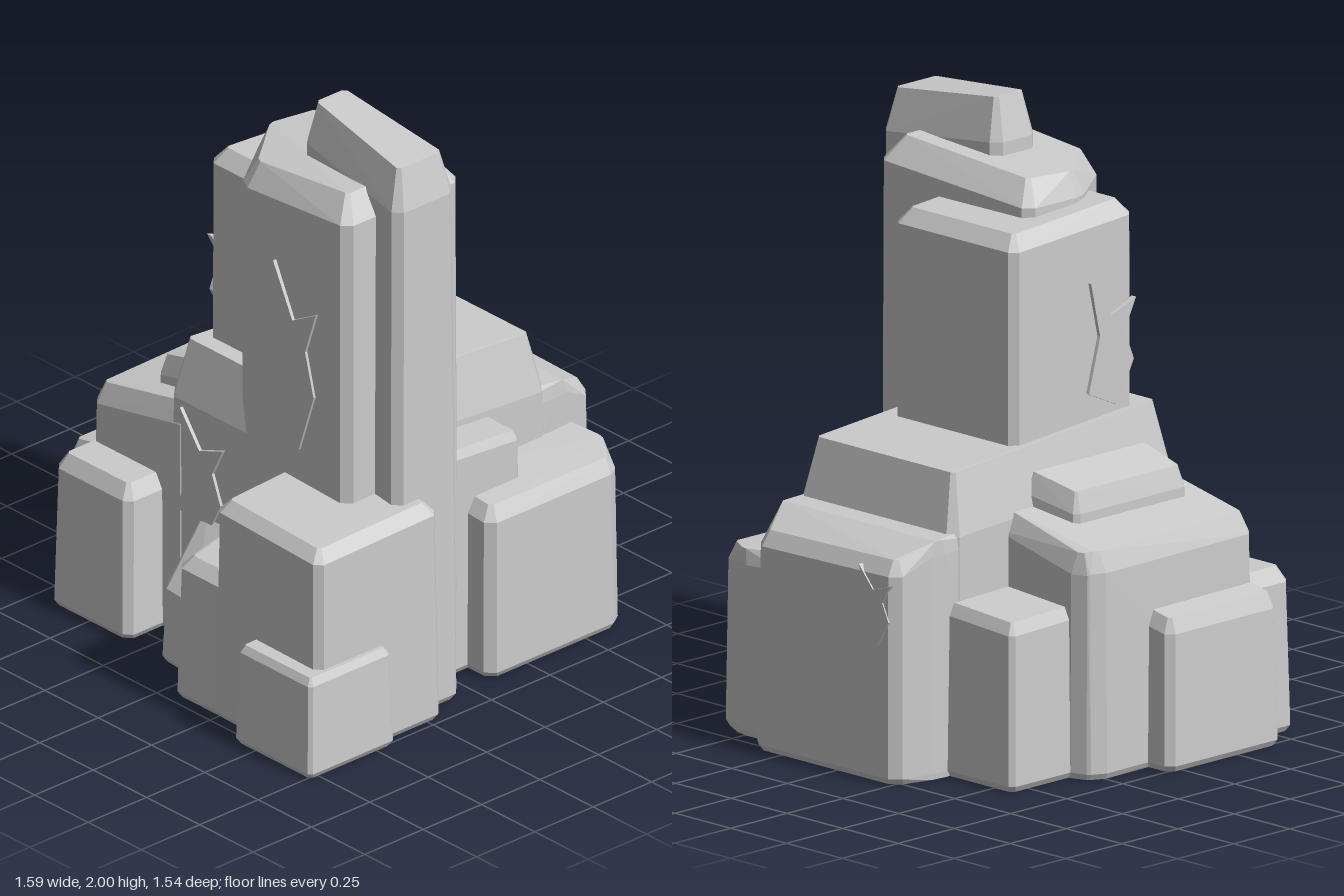
import * as THREE from 'three';
import { ConvexGeometry } from 'three/addons/geometries/ConvexGeometry.js';

const material = new THREE.MeshStandardMaterial({ color: 0xcccccc, flatShading: true });

// Chamfered rock block: corners are [x, z, topHeight] around a convex footprint.
// side = vertical edge cut, inset/drop = top bevel across and down.
function block(name, corners, { side = 0.025, inset = 0.035, drop = 0.04, taper = 0.01 } = {}) {
  const pts = [];
  const n = corners.length;
  corners.forEach(([x, z, h], i) => {
    const here = new THREE.Vector2(x, z);
    const toward = (k) => {
      const c = corners[(i + k + n) % n];
      return new THREE.Vector2(c[0], c[1]).sub(here).normalize();
    };
    const a = toward(-1), b = toward(1);
    const inward = a.clone().add(b);
    const put = (p, y) => pts.push(new THREE.Vector3(p.x, y, p.y));
    for (const d of [a, b]) {
      const edge = here.clone().addScaledVector(d, side);
      put(edge.clone().addScaledVector(inward, 0.012), 0);
      put(edge, 0.02);
      put(edge.clone().addScaledVector(inward, taper), h - drop);
      put(here.clone().addScaledVector(inward, inset + taper).addScaledVector(d, side * 0.4), h);
    }
  });
  const mesh = new THREE.Mesh(new ConvexGeometry(pts), material);
  mesh.name = name;
  return mesh;
}

// Axis-aligned footprint; heights run back-left, back-right, front-right, front-left (by x and z)
function box(name, x0, x1, z0, z1, h, options) {
  const [a, b, c, d] = Array.isArray(h) ? h : [h, h, h, h];
  return block(name, [[x0, z0, a], [x1, z0, b], [x1, z1, c], [x0, z1, d]], options);
}

// Thin jagged flake lying on a wall
function flake(name, outline, position, rotationY) {
  const shape = new THREE.Shape(outline.map(([x, y]) => new THREE.Vector2(x, y)));
  const geometry = new THREE.ExtrudeGeometry(shape, { depth: 0.02, bevelEnabled: false });
  const mesh = new THREE.Mesh(geometry, material);
  mesh.name = name;
  mesh.position.set(...position);
  mesh.rotation.y = rotationY;
  return mesh;
}

export function createModel() {
  const group = new THREE.Group();
  group.name = 'rockFormation';

  // Tall central spires
  group.add(
    block('frontSpire', [[-0.27, 0.13, 2.0], [-0.06, 0.13, 2.0], [-0.05, 0.67, 1.95], [-0.335, 0.67, 1.95]],
      { side: 0.03, inset: 0.035, drop: 0.14, taper: 0.012 }),
    block('mainSpire', [[-0.43, 0.04, 1.8], [-0.19, -0.13, 1.8], [0.055, -0.13, 1.8], [0.065, 0.55, 1.84], [-0.44, 0.55, 1.84]],
      { side: 0.03, inset: 0.06, drop: 0.08, taper: 0.005 }),
    box('rearSpire', -0.32, 0.225, -0.235, 0.315, [1.71, 1.68, 1.68, 1.71], { inset: 0.04, drop: 0.05, taper: 0.003 })
  );

  // Stepped body around the spires
  group.add(
    box('upperShelf', -0.435, 0.57, -0.31, 0.41, [1.04, 0.975, 0.975, 1.04],
      { side: 0.03, inset: 0.045, drop: 0.2, taper: 0.008 }),
    block('rightBoulder', [[0.3, -0.31, 0.8], [0.62, -0.3, 0.78], [0.79, -0.27, 0.73], [0.79, 0.37, 0.72], [0.62, 0.4, 0.78], [0.3, 0.4, 0.8]],
      { side: 0.03, inset: 0.03, drop: 0.05, taper: 0.008 }),
    block('frontRightBoulder', [[0.08, 0.3, 0.62], [0.7, 0.3, 0.62], [0.7, 0.52, 0.61], [0.64, 0.655, 0.6], [0.08, 0.655, 0.6]],
      { side: 0.03, inset: 0.03, drop: 0.05, taper: 0.008 }),
    box('frontLedge', 0.0, 0.325, 0.3, 0.55, [0.79, 0.77, 0.77, 0.79], { side: 0.015, inset: 0.015, drop: 0.03 })
  );

  // Steps on the -x side
  group.add(
    block('frontLeftBlock', [[-0.72, 0.22, 0.77], [-0.19, 0.2, 0.78], [-0.19, 0.735, 0.77], [-0.73, 0.735, 0.76]]),
    box('frontLeftStep', -0.795, -0.43, 0.41, 0.77, 0.35, { side: 0.012, inset: 0.015, drop: 0.025 }),
    box('leftMiddleStep', -0.72, -0.35, 0.04, 0.3, [0.5, 0.56, 0.56, 0.5]),
    block('leftSmallRock', [[-0.59, -0.17, 0.3], [-0.35, -0.18, 0.5], [-0.35, 0.06, 0.5], [-0.61, 0.05, 0.3]])
  );

  // Rear steps
  group.add(
    block('rearBlock', [[-0.44, -0.67, 0.745], [0.28, -0.68, 0.745], [0.325, -0.62, 0.74], [0.325, -0.2, 0.82], [-0.44, -0.2, 0.82]],
      { side: 0.03, inset: 0.03, drop: 0.07, taper: 0.01 }),
    block('rearTopStep', [[-0.33, -0.475, 0.88], [0.18, -0.475, 0.88], [0.22, -0.25, 0.92], [-0.34, -0.25, 0.92]],
      { side: 0.015, inset: 0.02, drop: 0.07 }),
    box('rearLowSlab', -0.44, 0.065, -0.775, -0.5, [0.5, 0.5, 0.54, 0.54], { inset: 0.02, drop: 0.05 }),
    box('rearLeftBlock', -0.59, -0.3, -0.68, -0.31, 0.54, { side: 0.025, inset: 0.03, drop: 0.05 }),
    box('rearRightBlock', 0.2, 0.585, -0.59, -0.2, [0.56, 0.55, 0.57, 0.58], { side: 0.015, inset: 0.02, drop: 0.04 })
  );

  // Shallow broken flakes on the walls
  const jagged = [[-0.1, -0.16], [0.03, -0.22], [0.1, -0.08], [0.06, 0.02], [0.11, 0.12], [0.0, 0.08], [-0.09, 0.2], [-0.05, 0.02]];
  group.add(
    flake('rearSpireFlake', jagged, [-0.2, 1.27, -0.225], Math.PI),
    flake('shelfFlake', jagged, [-0.42, 0.62, -0.14], -Math.PI / 2),
    flake('spireFlake', jagged.map(([x, y]) => [x, y * 1.5]), [-0.423, 1.22, 0.3], -Math.PI / 2),
    flake('boulderFlake', jagged.map(([x, y]) => [x * 0.7, y * 0.6]), [0.768, 0.58, -0.17], Math.PI / 2)
  );
  return group;
}
